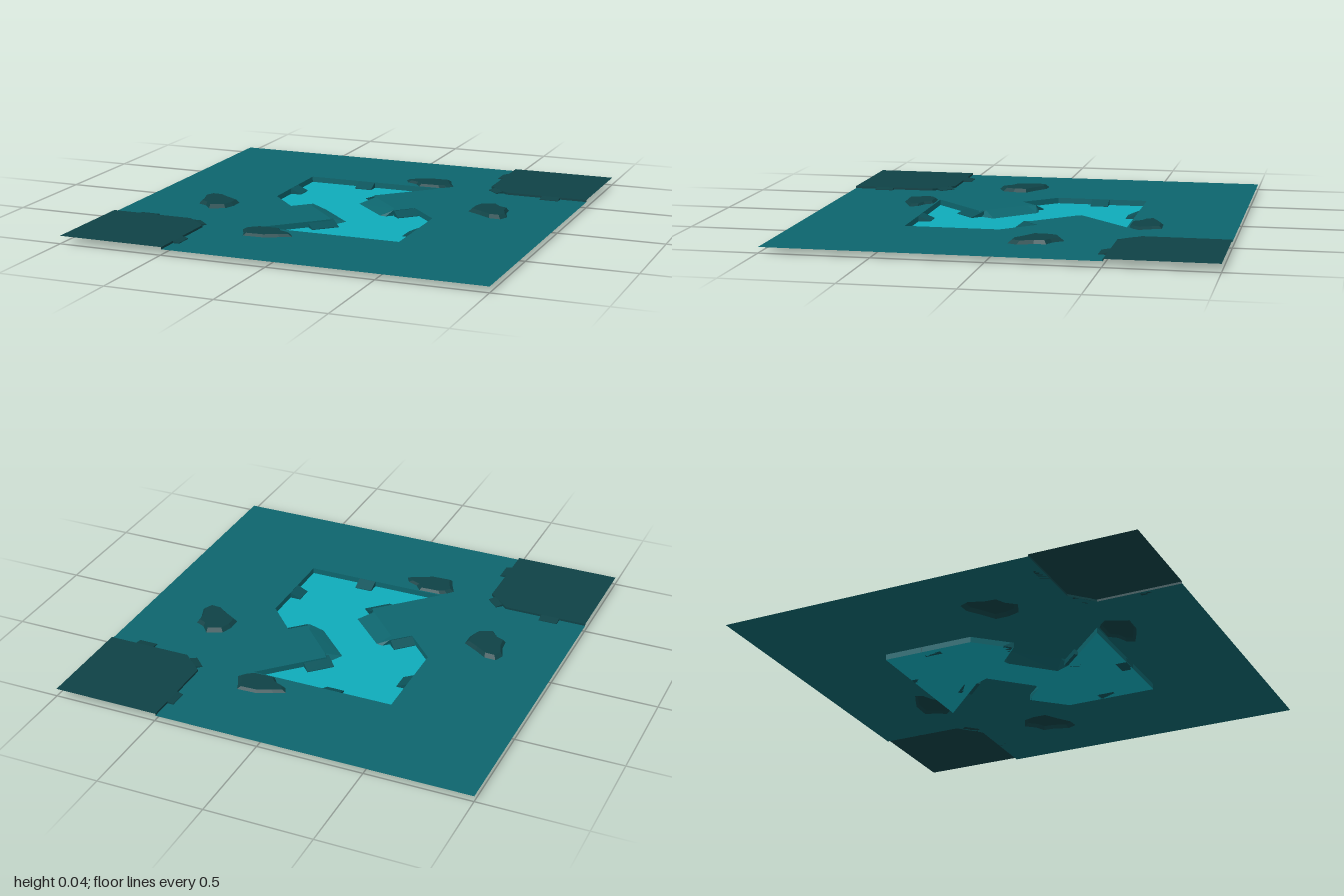
import * as THREE from 'three';

const PLATE_Y = 0.027, CORNER_Y = 0.037;
const mat = (color) => new THREE.MeshStandardMaterial({ color, flatShading: true, side: THREE.DoubleSide });
const ground = mat(0x0d656d), pool = mat(0x0fabba), dark = mat(0x0f4246), ramp = mat(0x0b535a);

const turn = (pts) => pts.map(([x, z]) => [-x, -z]);
const vec = (pts) => pts.map(([x, z]) => new THREE.Vector2(x, -z));

function add(parent, name, geometry, material) {
  const mesh = new THREE.Mesh(geometry, material);
  mesh.name = name;
  parent.add(mesh);
  return mesh;
}

// Flat horizontal sheet from [x, z] corners, with optional holes
function sheet(pts, y, holes = []) {
  const shape = new THREE.Shape(vec(pts));
  shape.holes = holes.map((h) => new THREE.Path(vec(h)));
  return new THREE.ShapeGeometry(shape).rotateX(-Math.PI / 2).translate(0, y, 0);
}

// Band of quads joining a lower outline to an upper one
function band(low, y0, high, y1, closed = true) {
  const pos = [], n = low.length;
  for (let i = 0; i < (closed ? n : n - 1); i++) {
    const j = (i + 1) % n;
    const a = [low[i][0], y0, low[i][1]], b = [low[j][0], y0, low[j][1]];
    const c = [high[j][0], y1, high[j][1]], d = [high[i][0], y1, high[i][1]];
    pos.push(...a, ...c, ...b, ...a, ...d, ...c);
  }
  const g = new THREE.BufferGeometry();
  g.setAttribute('position', new THREE.Float32BufferAttribute(pos, 3));
  g.computeVertexNormals();
  return g;
}

// Sloping notch block leaning out from an edge in direction (dx, dz)
function notch(parent, name, [x, z, dx, dz, width, depth], y0, y1, material) {
  const s = new THREE.Shape([[0, 0], [depth, 0], [depth, 0.003], [0, y1 - y0]].map((p) => new THREE.Vector2(...p)));
  const g = new THREE.ExtrudeGeometry(s, { depth: width, bevelEnabled: false });
  g.translate(0, 0, -width / 2);
  const m = add(parent, name, g, material);
  m.position.set(x, y0, z);
  m.rotation.y = Math.atan2(-dz, dx);
}

// Half outlines; the other half is the same turned by 180 degrees
const floorHalf = [[-0.42, -0.5], [0.26, -0.5], [0, -0.24], [-0.035, -0.17], [0.14, 0.005], [0.17, 0.01], [0.28, -0.09], [0.42, 0.06]];
const rimHalf = [[-0.42, -0.5], [0.26, -0.5], [0.01, -0.25], [0.03, -0.22], [0.19, -0.05], [0.2, -0.01], [0.28, -0.09], [0.42, 0.06]];
const cornerEdge = [[0.495, -1], [0.495, -0.6], [0.6, -0.505], [1, -0.505]];

const rocks = [
  { top: 0.038, pts: [[0.05, -0.6], [0.1, -0.625], [0.17, -0.656], [0.265, -0.66], [0.28, -0.62], [0.31, -0.56],
    [0.285, -0.53], [0.255, -0.51], [0.15, -0.507], [0.12, -0.545], [0.07, -0.565]] },
  { top: 0.043, pts: [[0.55, -0.245], [0.62, -0.277], [0.66, -0.23], [0.705, -0.21], [0.71, -0.155], [0.735, -0.085],
    [0.715, -0.04], [0.66, -0.043], [0.6, -0.085], [0.533, -0.125], [0.533, -0.19]] },
];

const poolNotches = [
  [-0.125, -0.5, 0, 1, 0.085, 0.055],
  [-0.42, -0.272, 1, 0, 0.085, 0.052],
  [0.055, -0.27, -1, -1, 0.13, 0.07],
  [0.245, -0.05, 1, 1, 0.115, 0.045],
];
const cornerNotches = [
  [0.495, -0.845, -1, 0, 0.09, 0.03],
  [0.825, -0.505, 0, 1, 0.09, 0.04],
  [0.548, -0.552, -1, 1, 0.08, 0.035],
];

export function createModel() {
  const group = new THREE.Group();
  const floor = [...floorHalf, ...turn(floorHalf)];
  const rim = [...rimHalf, ...turn(rimHalf)];
  const rockHoles = rocks.flatMap((r) => [r.pts, turn(r.pts)]);
  const plate = [[-1, -1], ...cornerEdge, [1, 1], ...turn(cornerEdge)];

  // Ground plate and sunken pool
  add(group, 'groundPlate', sheet(plate, PLATE_Y, [rim, ...rockHoles]), ground);
  add(group, 'poolFloor', sheet(floor, 0), pool);
  add(group, 'poolWall', band(floor, 0, rim, PLATE_Y), ground);

  // Everything paired across the centre
  for (let i = 0; i < 2; i++) {
    const half = new THREE.Group();
    half.name = i ? 'frontHalf' : 'backHalf';
    half.rotation.y = i * Math.PI;
    group.add(half);

    add(half, 'cornerTerrace', sheet([...cornerEdge, [1, -1]], CORNER_Y), dark);
    add(half, 'cornerTerraceWall', band(cornerEdge, PLATE_Y, cornerEdge, CORNER_Y, false), dark);
    cornerNotches.forEach((n) => notch(half, 'terraceNotch', n, PLATE_Y, CORNER_Y, dark));
    poolNotches.forEach((n) => notch(half, 'poolNotch', n, 0, PLATE_Y - 0.001, ramp));

    // Flat-topped rocks with tapered sides
    rocks.forEach(({ pts, top }) => {
      const cx = pts.reduce((s, p) => s + p[0], 0) / pts.length;
      const cz = pts.reduce((s, p) => s + p[1], 0) / pts.length;
      const inner = pts.map(([x, z]) => [cx + (x - cx) * 0.84, cz + (z - cz) * 0.84]);
      add(half, 'rockSide', band(pts, PLATE_Y, inner, top), dark);
      add(half, 'rockTop', sheet(inner, top), dark);
    });
  }
  return group;
}
